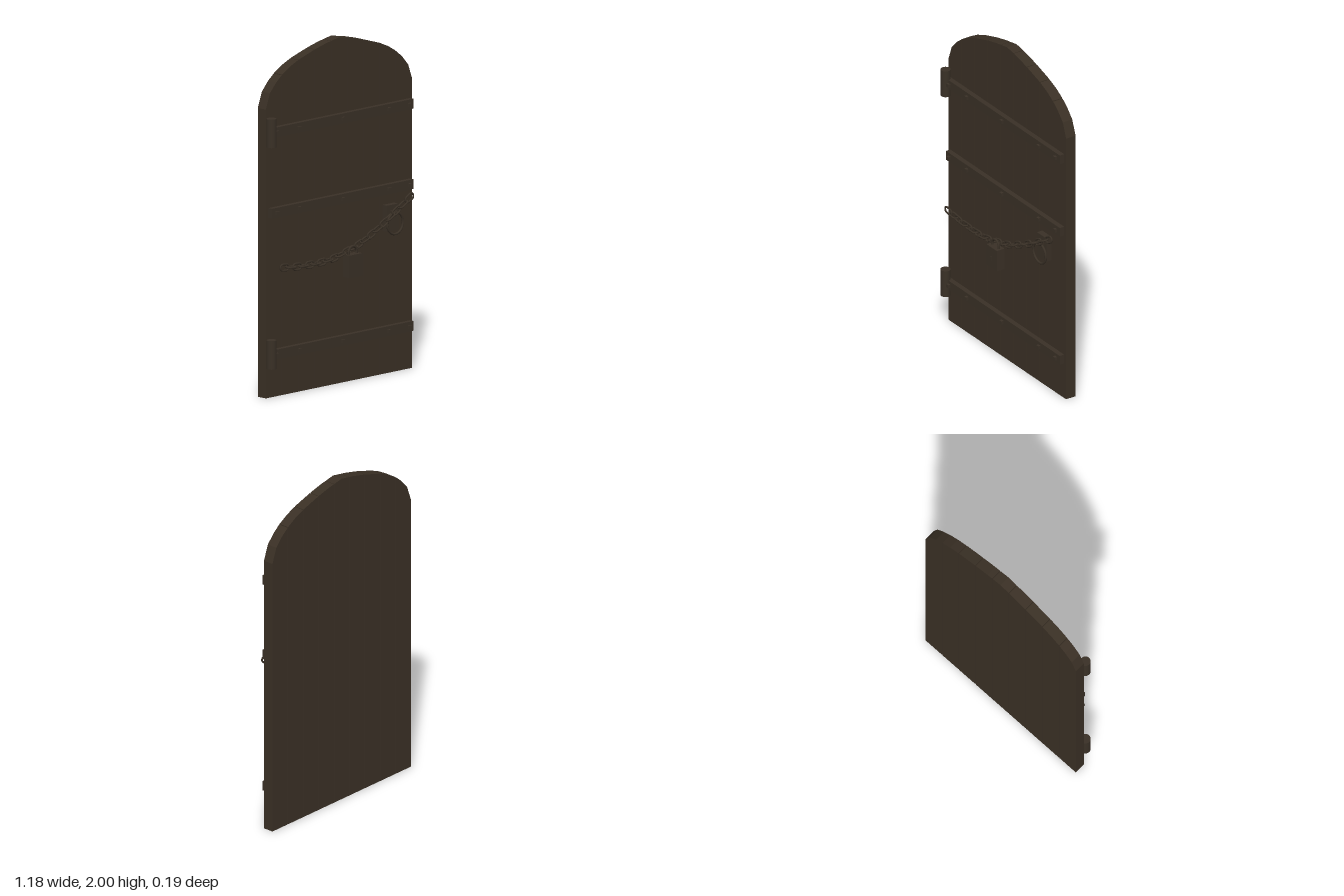
import * as THREE from 'three';

const wood = new THREE.MeshStandardMaterial({ color: 0x3a3025 });
wood.name = 'dark wood';
const iron = new THREE.MeshStandardMaterial({ color: 0x393026 });
iron.name = 'dark iron';

function add(parent, name, geometry, material, x = 0, y = 0, z = 0) {
  const mesh = new THREE.Mesh(geometry, material);
  mesh.name = name;
  mesh.position.set(x, y, z);
  parent.add(mesh);
  return mesh;
}

// Closed stadium-shaped curve for one chain link
function linkGeometry(halfLength, halfWidth, tube) {
  const points = [];
  for (let i = 0; i < 20; i++) {
    const a = (i / 20) * Math.PI * 2;
    const c = Math.cos(a), s = Math.sin(a);
    points.push(new THREE.Vector3(c * halfWidth + Math.sign(Math.round(c * 1e4)) * (halfLength - halfWidth), s * halfWidth, 0));
  }
  return new THREE.TubeGeometry(new THREE.CatmullRomCurve3(points, true), 28, tube, 8, true);
}

export function createModel() {
  const door = new THREE.Group();
  door.name = 'door';

  // Arched planks: each one is cut from the outline of the pointed arch
  const arch = [[0, 2], [0.1, 1.982], [0.19, 1.96], [0.32, 1.92], [0.39, 1.89], [0.45, 1.855],
    [0.5, 1.815], [0.55, 1.76], [0.5825, 1.67]];
  const mid = 0.0035;
  const top = (x) => {
    const d = Math.min(Math.abs(x - mid), 0.5825);
    const i = Math.max(1, arch.findIndex((p) => p[0] >= d - 1e-6));
    const [x0, y0] = arch[i - 1], [x1, y1] = arch[i];
    return y0 + (y1 - y0) * (d - x0) / (x1 - x0);
  };
  const seams = [-0.579, -0.451, -0.32, -0.19, -0.06, 0.067, 0.198, 0.327, 0.456, 0.586];
  const planks = new THREE.Group();
  planks.name = 'planks';
  door.add(planks);
  for (let i = 0; i < 9; i++) {
    const l = seams[i] + (i > 0 ? 0.002 : 0);
    const r = seams[i + 1] - (i < 8 ? 0.002 : 0);
    const knots = arch.flatMap(([d]) => [mid - d, mid + d]).filter((x) => x > l + 0.001 && x < r - 0.001);
    const xs = [...new Set([l, ...knots, r])].sort((a, b) => b - a);
    const shape = new THREE.Shape();
    shape.moveTo(l, 0);
    shape.lineTo(r, 0);
    xs.forEach((x) => shape.lineTo(x, top(x)));
    add(planks, 'plank', new THREE.ExtrudeGeometry(shape, { depth: 0.065, bevelEnabled: false }), wood, 0, 0, -0.095);
  }

  // Iron straps with rivets
  const strapGeo = new THREE.BoxGeometry(1.127, 0.056, 0.03);
  const rivetGeo = new THREE.BoxGeometry(0.02, 0.02, 0.016);
  for (const y of [0.25, 1.07, 1.535]) {
    const strap = new THREE.Group();
    strap.name = 'strap';
    door.add(strap);
    add(strap, 'strapBar', strapGeo, iron, 0.0035, y, -0.015);
    for (const x of [-0.526, -0.347, 0, 0.365, 0.53]) add(strap, 'rivet', rivetGeo, iron, x, y, 0.007);
  }

  // Hinge barrels on the door's right edge
  const hingeGeo = new THREE.CylinderGeometry(0.029, 0.029, 0.165, 24);
  for (const y of [0.257, 1.538]) add(door, 'hingeBarrel', hingeGeo, iron, -0.564, y, 0);

  // Sagging chain: links alternate between upright and flat
  const chain = new THREE.Group();
  chain.name = 'chain';
  door.add(chain);
  const path = new THREE.CatmullRomCurve3([[-0.49, 0.753], [-0.39, 0.743], [-0.29, 0.739], [-0.195, 0.739],
    [-0.095, 0.748], [0.005, 0.772], [0.1, 0.797], [0.2, 0.84], [0.3, 0.89], [0.4, 0.945], [0.503, 1.005]]
    .map(([x, y]) => new THREE.Vector3(x, y, 0.031)));
  const linkGeo = linkGeometry(0.033, 0.018, 0.0055);
  for (let i = 0; i <= 20; i++) {
    const p = path.getPoint(i / 20);
    const t = path.getTangent(i / 20);
    const link = add(chain, 'chainLink', linkGeo, iron, p.x, p.y, p.z);
    link.rotation.set(i % 2 ? Math.PI / 2 : 0, 0, Math.atan2(t.y, t.x), 'ZYX');
  }

  // Padlock hanging from the chain
  const lock = new THREE.Group();
  lock.name = 'padlock';
  lock.position.set(0.02, 0, 0.062);
  door.add(lock);
  add(lock, 'lockBody', new THREE.BoxGeometry(0.103, 0.13, 0.053), iron, 0, 0.695, 0);
  add(lock, 'shackle', new THREE.TorusGeometry(0.032, 0.0075, 8, 20, Math.PI), iron, 0, 0.772, 0);
  const legGeo = new THREE.CylinderGeometry(0.0075, 0.0075, 0.02, 8);
  for (const x of [-0.032, 0.032]) add(lock, 'shackleLeg', legGeo, iron, x, 0.763, 0);
  add(lock, 'keyhole', new THREE.BoxGeometry(0.01, 0.025, 0.006), iron, 0, 0.692, 0.029);

  // Ring handle on its back plate
  const handle = new THREE.Group();
  handle.name = 'handle';
  door.add(handle);
  add(handle, 'handlePlate', new THREE.BoxGeometry(0.09, 0.15, 0.035), iron, 0.395, 0.903, -0.0125);
  add(handle, 'handleStud', new THREE.BoxGeometry(0.04, 0.025, 0.02), iron, 0.397, 0.933, 0.012);
  add(handle, 'handleRing', new THREE.TorusGeometry(0.062, 0.007, 8, 32), iron, 0.399, 0.872, 0.022);

  return door;
}
